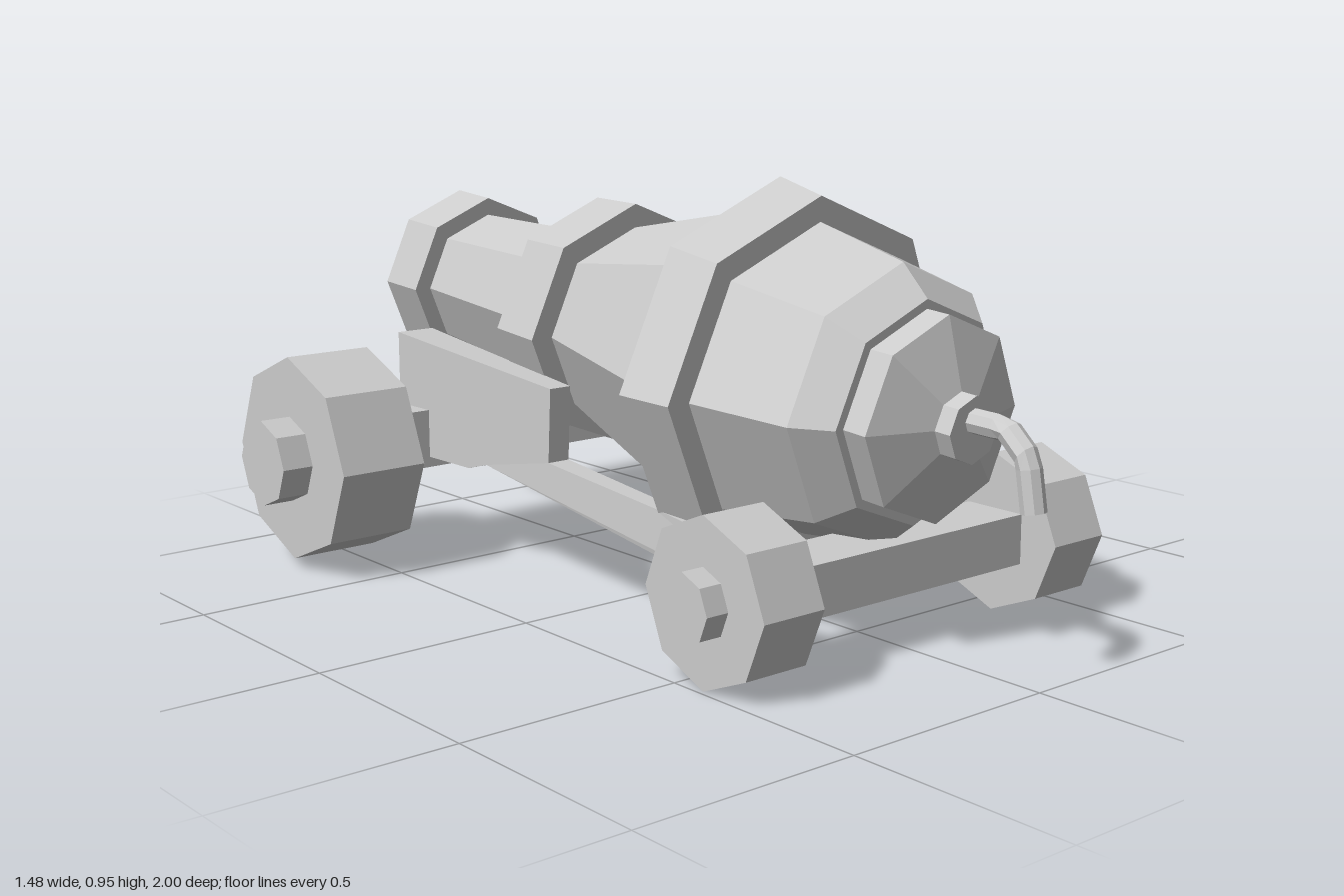
import * as THREE from 'three';

const grey = new THREE.MeshStandardMaterial({ color: 0xcccccc, flatShading: true });

function add(parent, geometry, name, x = 0, y = 0, z = 0) {
  const mesh = new THREE.Mesh(geometry, grey);
  mesh.name = name;
  mesh.position.set(x, y, z);
  parent.add(mesh);
  return mesh;
}

// Eight-sided turned part along z; profile is [radius, z] with z rising on the outside
function turned(profile) {
  const points = profile.map(([r, z]) => new THREE.Vector2(r, z));
  return new THREE.LatheGeometry(points, 8).rotateX(Math.PI / 2);
}

// Closed tapered ring from z0 (radius r0) to z1 (radius r1)
const band = (z0, r0, z1, r1, inner) =>
  turned([[inner, z0], [r0, z0], [r1, z1], [inner, z1]]);

function makeBarrel() {
  const barrel = new THREE.Group();
  barrel.name = 'barrel';
  barrel.position.set(-0.008, 0.551, 0);
  barrel.rotation.set(0.068, 0, 0.012);

  add(barrel, turned([[0.17, -0.9], [0.195, -0.395], [0.233, -0.25],
    [0.355, 0.237], [0.34, 0.367], [0.297, 0.608], [0.235, 0.68],
    [0.215, 0.68], [0.215, 0.74], [0.07, 0.785], [0, 0.785]]), 'barrelBody');
  // Hollow muzzle with its bore
  add(barrel, turned([[0, -0.88], [0.14, -0.88], [0.165, -0.98], [0.217, -0.98],
    [0.215, -0.85], [0.15, -0.85]]), 'muzzle');
  add(barrel, band(-0.395, 0.282, -0.25, 0.288, 0.18), 'middleBand');
  add(barrel, band(0.237, 0.418, 0.365, 0.395, 0.33), 'breechBand');
  add(barrel, turned([[0.07, 0.77], [0.07, 0.825], [0, 0.825]]), 'fuseSocket');
  return barrel;
}

// Drooping fuse, swept along a bent path
function makeFuse() {
  const path = new THREE.CurvePath();
  const p = [[0.515, 0.8], [0.512, 0.91], [0.465, 0.962], [0.36, 0.98]]
    .map(([y, z]) => new THREE.Vector3(-0.01, y, z));
  path.add(new THREE.LineCurve3(p[0], p[1]));
  path.add(new THREE.LineCurve3(p[1], p[2]));
  path.add(new THREE.LineCurve3(p[2], p[3]));
  const fuse = new THREE.Group();
  fuse.name = 'fuse';
  add(fuse, new THREE.TubeGeometry(path, 10, 0.026, 8), 'fuseCord');
  const cap = add(fuse, new THREE.CircleGeometry(0.026, 8), 'fuseTip', ...p[3].toArray());
  cap.rotation.x = Math.PI / 2 - 0.17;
  return fuse;
}

// Side plate: raised cheek at the rear, thin rail running to the front axle
function sidePlate(side) {
  const outline = [[-0.75, 0.525], [-0.155, 0.47], [-0.165, 0.3], [0.2, 0.268],
    [0.6, 0.225], [0.6, 0.13], [0.41, 0.14], [-0.4, 0.255], [-0.47, 0.235], [-0.75, 0.235]];
  const shape = new THREE.Shape(outline.map(([z, y]) => new THREE.Vector2(z, y)));
  const geometry = new THREE.ExtrudeGeometry(shape, { depth: 2, bevelEnabled: false })
    .translate(0, 0, -1).rotateY(-Math.PI / 2);
  // Thicker towards the rear
  const pos = geometry.attributes.position;
  for (let i = 0; i < pos.count; i++) {
    const half = 0.022 + 0.026 * THREE.MathUtils.clamp(-pos.getZ(i) / 0.75, 0, 1);
    pos.setX(i, side * 0.288 + Math.sign(pos.getX(i)) * half);
  }
  return geometry;
}

function makeWheel(name, side, inner, outer, hubEnd, radius, hubRadius, y, z) {
  const wheel = new THREE.Group();
  wheel.name = name;
  const disc = (r, a, b) => new THREE.CylinderGeometry(r, r, b - a, 8)
    .rotateZ(-Math.PI / 2).translate(side * (a + b) / 2, 0, 0);
  add(wheel, disc(radius, inner, outer), 'wheelRim');
  add(wheel, disc(hubRadius, outer - 0.02, hubEnd), 'wheelHub');
  wheel.position.set(0, y, z);
  return wheel;
}

export function createModel() {
  const model = new THREE.Group();
  model.name = 'cannon';
  model.add(makeBarrel(), makeFuse());

  // Carriage
  add(model, new THREE.BoxGeometry(0.7, 0.11, 0.15), 'frontAxle', 0, 0.18, 0.58);
  add(model, new THREE.BoxGeometry(0.94, 0.14, 0.15), 'rearAxle', 0, 0.28, -0.705);
  for (const [side, label] of [[1, 'left'], [-1, 'right']]) {
    add(model, sidePlate(side), label + 'SidePlate');
    model.add(
      makeWheel(label + 'FrontWheel', side, 0.336, 0.49, 0.543, 0.176, 0.074, 0.182, 0.575),
      makeWheel(label + 'RearWheel', side, 0.455, 0.666, 0.74, 0.24, 0.1, 0.268, -0.7));
  }
  return model;
}
